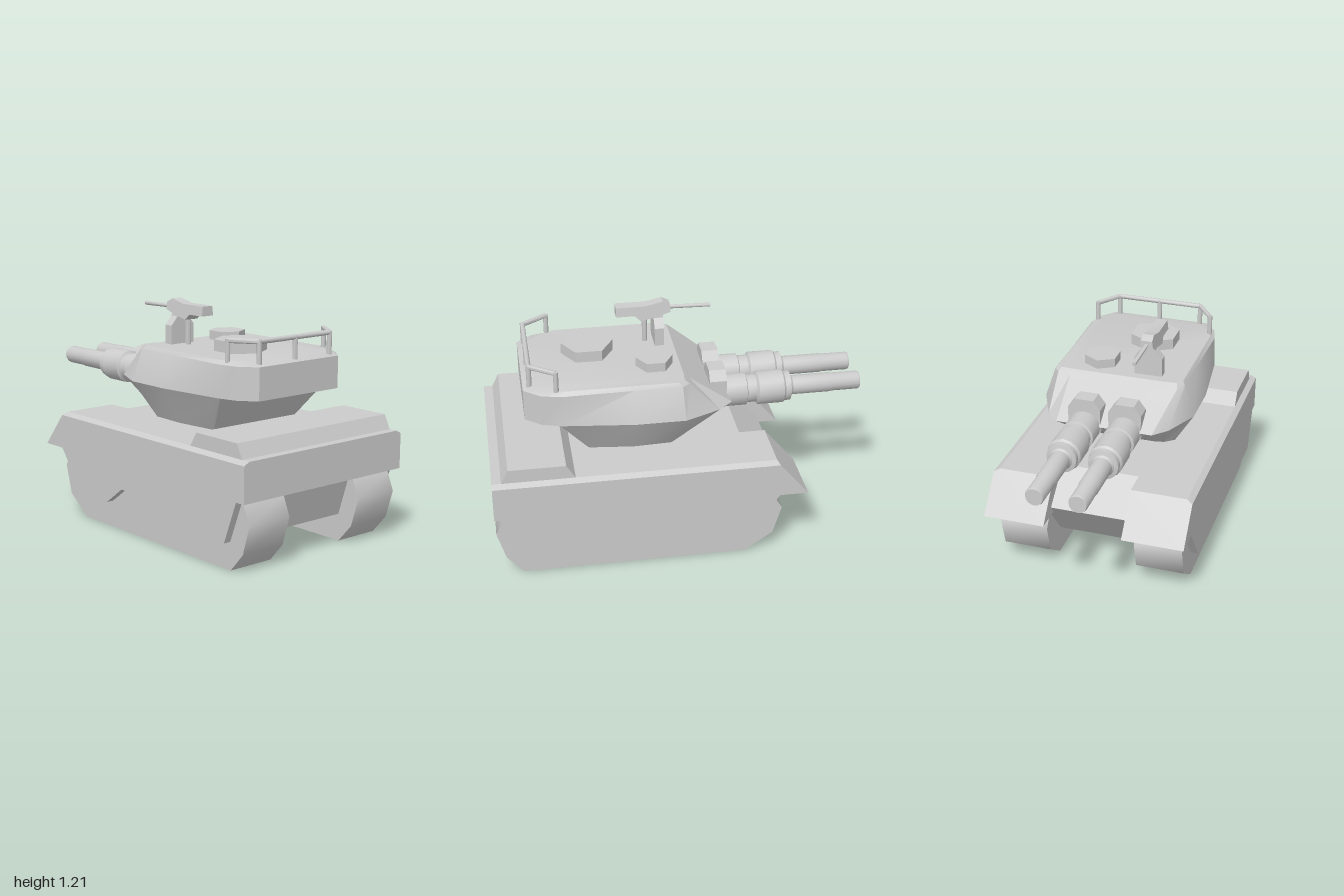
import * as THREE from 'three';
import { toCreasedNormals } from 'three/addons/utils/BufferGeometryUtils.js';

const grey = new THREE.MeshStandardMaterial({ color: 0xcccccc });

function add(parent, name, geometry, crease = 0.4) {
  const mesh = new THREE.Mesh(toCreasedNormals(geometry, crease), grey);
  mesh.name = name;
  parent.add(mesh);
  return mesh;
}

const shapeOf = (pts) => new THREE.Shape(pts.map(([a, b]) => new THREE.Vector2(a, b)));

// Side profile of [z, y] points, extruded from x0 to x1
function sideExtrude(pts, x0, x1) {
  return new THREE.ExtrudeGeometry(shapeOf(pts), { depth: x1 - x0, bevelEnabled: false })
    .rotateY(-Math.PI / 2).translate(x1, 0, 0);
}

// Cross-section of [x, y] points, extruded from z0 to z1
function zExtrude(pts, z0, z1) {
  return new THREE.ExtrudeGeometry(shapeOf(pts), { depth: z1 - z0, bevelEnabled: false })
    .translate(0, 0, z0);
}

// Round bar between two points
function bar(a, b, r, sides = 10) {
  const from = new THREE.Vector3(...a), to = new THREE.Vector3(...b);
  const dir = to.clone().sub(from);
  const q = new THREE.Quaternion().setFromUnitVectors(new THREE.Vector3(0, 1, 0), dir.clone().normalize());
  const mid = from.add(to).multiplyScalar(0.5);
  return new THREE.CylinderGeometry(r, r, dir.length(), sides).applyQuaternion(q).translate(mid.x, mid.y, mid.z);
}

// Skin over mirrored rings: { y, half: [x, z] points from front to rear }
function loft(rings) {
  const pos = [], index = [];
  const n = rings[0].half.length * 2;
  for (const { y, half } of rings) {
    for (const [x, z] of half) pos.push(x, y, z);
    for (const [x, z] of [...half].reverse()) pos.push(-x, y, z);
  }
  for (let r = 0; r < rings.length - 1; r++) {
    for (let i = 0; i < n; i++) {
      const a = r * n + i, b = r * n + (i + 1) % n;
      index.push(a, a + n, b, b, a + n, b + n);
    }
  }
  const top = (rings.length - 1) * n;
  for (let i = 1; i < n - 1; i++) index.push(0, i, i + 1, top, top + i + 1, top + i);
  const g = new THREE.BufferGeometry();
  g.setAttribute('position', new THREE.Float32BufferAttribute(pos, 3));
  g.setIndex(index);
  return g;
}

function buildHull() {
  const hull = new THREE.Group();
  hull.name = 'hull';
  add(hull, 'upperHull', zExtrude(
    [[-0.54, 0.365], [0.54, 0.365], [0.54, 0.55], [0.51, 0.567], [-0.51, 0.567], [-0.54, 0.55]], -0.33, 1));
  add(hull, 'lowerHull', sideExtrude(
    [[0.94, 0.4], [0.86, 0.145], [-0.3, 0.145], [-0.52, 0.41], [-0.33, 0.567], [0.5, 0.5]], -0.24, 0.24));
  add(hull, 'engineDeck', sideExtrude(
    [[0.955, 0.56], [0.915, 0.64], [0.62, 0.64], [0.57, 0.56]], -0.51, 0.51));

  const trackProfile = [[0.93, 0.39], [0.955, 0.345], [0.995, 0.25], [0.95, 0.1], [0.865, 0.003],
    [-0.32, 0.003], [-0.465, 0.105], [-0.51, 0.26], [-0.46, 0.34], [-0.44, 0.39]];
  const skirtProfile = [[0.95, 0.38], [0.86, 0.145], [0.58, 0.145], [0.42, 0.24], [0.05, 0.24],
    [-0.08, 0.145], [-0.32, 0.145], [-0.5, 0.38]];
  for (const s of [1, -1]) {
    const span = (a, b) => (s > 0 ? [a, b] : [-b, -a]);
    add(hull, 'track', sideExtrude(trackProfile, ...span(0.24, 0.5)), 0.85);
    add(hull, 'sideSkirt', sideExtrude(skirtProfile, ...span(0.5, 0.54)));

    // Fender: its outer end is raked by height
    const section = [[0.21, 0.365], [0.54, 0.365], [0.54, 0.55], [0.51, 0.567], [0.21, 0.567]];
    const fender = zExtrude(section.map(([x, y]) => [x * s, y]), -0.47, -0.33);
    const p = fender.attributes.position;
    for (let i = 0; i < p.count; i++) {
      if (p.getZ(i) < -0.4) p.setZ(i, -0.47 - (0.567 - p.getY(i)) * 0.83);
    }
    add(hull, 'fender', fender);
  }
  return hull;
}

function buildTurret() {
  const turret = new THREE.Group();
  turret.name = 'turret';
  add(turret, 'turretRing', new THREE.CylinderGeometry(0.215, 0.215, 0.06, 24).translate(0, 0.585, 0.235));
  const front = [[0.26, -0.275], [0.33, -0.2], [0.415, -0.01], [0.415, 0.25]];
  add(turret, 'turretBody', loft([
    { y: 0.597, half: [[0.2, 0], [0.25, 0.01], [0.3, 0.05], [0.31, 0.25], [0.285, 0.47], [0.28, 0.485], [0.2, 0.49]] },
    { y: 0.79, half: [...front, [0.37, 0.62], [0.365, 0.63], [0.26, 0.63]] },
    { y: 0.79, half: [...front, [0.37, 0.62], [0.34, 0.72], [0.27, 0.805]] },
    { y: 0.957, half: [[0.26, -0.045], [0.33, -0.04], [0.36, 0], [0.36, 0.25], [0.365, 0.62], [0.34, 0.72], [0.27, 0.805]] },
    { y: 0.976, half: [[0.26, -0.02], [0.32, -0.015], [0.345, 0.02], [0.345, 0.25], [0.345, 0.6], [0.31, 0.67], [0.25, 0.73]] },
  ]));

  // Six-sided hatches: x, z, radius, height
  for (const [x, z, r, h] of [[-0.07, 0.445, 0.138, 0.06], [0.13, 0.115, 0.097, 0.05]]) {
    add(turret, 'hatch', new THREE.CylinderGeometry(r, r, h, 6).translate(x, 0.975 + h / 2, z));
  }

  // Rear rail
  const rail = [[-0.33, 0.64], [-0.24, 0.77], [0.24, 0.77], [0.33, 0.64]];
  for (let i = 0; i < 3; i++) {
    const [a, b] = [rail[i], rail[i + 1]];
    add(turret, 'railBar', bar([a[0], 1.075, a[1]], [b[0], 1.075, b[1]], 0.013), 0.8);
  }
  for (const [x, z] of [...rail, [0, 0.77]]) {
    add(turret, 'railPost', bar([x, 0.95, z], [x, 1.083, z], 0.013), 0.8);
  }
  return turret;
}

function buildCannon(x) {
  const cannon = new THREE.Group();
  cannon.name = 'cannon';
  // Collar with chamfered top
  add(cannon, 'cannonMount', zExtrude(
    [[-0.05, 0.7], [0.05, 0.7], [0.088, 0.75], [0.088, 0.88], [0.05, 0.93], [-0.05, 0.93], [-0.088, 0.88], [-0.088, 0.75]],
    -0.26, -0.17));
  // Stepped tube: [radius, distance]
  const steps = [[0, 0.1], [0.087, 0.1], [0.087, 0.375], [0.075, 0.38], [0.075, 0.43], [0.09, 0.44], [0.09, 0.575],
    [0.08, 0.585], [0.08, 0.615], [0.06, 0.62], [0.052, 0.63], [0.052, 0.84], [0.049, 0.85], [0.049, 0.99], [0.045, 1], [0, 1]];
  add(cannon, 'cannonBarrel', new THREE.LatheGeometry(
    steps.map(([r, d]) => new THREE.Vector2(r, d)), 16).rotateX(-Math.PI / 2).translate(0, 0.777, 0), 0.5);
  cannon.position.x = x;
  return cannon;
}

function buildMachineGun() {
  const gun = new THREE.Group();
  gun.name = 'machineGun';
  add(gun, 'gunStand', zExtrude(
    [[-0.075, 0.97], [0.075, 0.97], [0.075, 1.075], [0.035, 1.12], [0.03, 1.15], [-0.03, 1.15], [-0.035, 1.12], [-0.075, 1.075]],
    0.03, 0.08));
  add(gun, 'gunPost', bar([0, 0.96, 0.125], [0, 1.14, 0.125], 0.014), 0.8);
  // Gun body narrows toward its top
  const body = sideExtrude([[0.28, 1.19], [0.28, 1.14], [0.18, 1.14], [0.15, 1.11], [0.1, 1.12], [0.04, 1.135],
    [-0.01, 1.15], [-0.01, 1.19], [0.03, 1.21], [0.12, 1.19]], -0.042, 0.042);
  const p = body.attributes.position;
  for (let i = 0; i < p.count; i++) p.setX(i, p.getX(i) * (1 - (p.getY(i) - 1.11) * 3.2));
  add(gun, 'gunBody', body);
  add(gun, 'gunBarrel', bar([0, 1.165, 0], [0, 1.16, -0.23], 0.011, 8), 0.9);
  gun.position.x = -0.15;
  return gun;
}

export function createModel() {
  const model = new THREE.Group();
  model.name = 'tank';
  model.add(buildHull(), buildTurret(), buildCannon(0.11), buildCannon(-0.11), buildMachineGun());
  return model;
}
